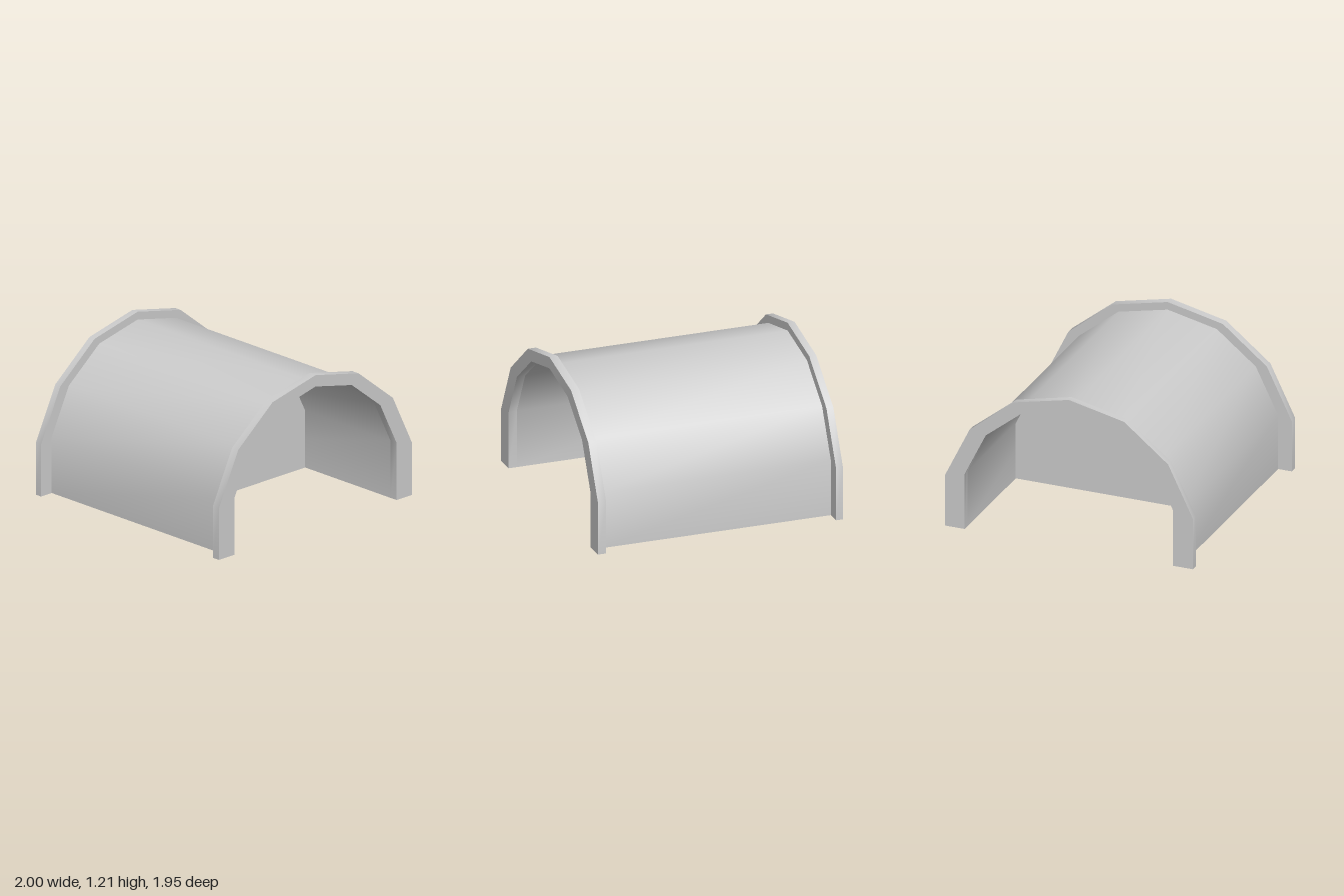
import * as THREE from 'three';
import { toCreasedNormals } from 'three/addons/utils/BufferGeometryUtils.js';

// Half profiles of the arch, from the foot up to the crown
const OUTER = [[1, 0], [1, 0.41], [0.8, 0.82], [0.445, 1.105], [0, 1.205]];
const SHELL = [[0.89, 0], [0.89, 0.44], [0.71, 0.805], [0.397, 1.055], [0, 1.143]];
const INNER = [[0.84, 0], [0.84, 0.45], [0.67, 0.795], [0.375, 1.03], [0, 1.115]];

// Mirror a half profile into a full arch running from +x to -x
function arch(half) {
  const left = half.map(([x, y]) => new THREE.Vector2(x, y));
  const right = half.slice(0, -1).reverse().map(([x, y]) => new THREE.Vector2(-x, y));
  return [...left, ...right];
}

export function createModel() {
  const group = new THREE.Group();
  group.name = 'archedTunnel';
  const material = new THREE.MeshStandardMaterial({ color: 0xcccccc });

  // Band between an outer arch and the inner arch, extruded from z0 to z1
  function addBand(name, outer, z0, z1) {
    const shape = new THREE.Shape([...arch(outer), ...arch(INNER).reverse()]);
    const geometry = new THREE.ExtrudeGeometry(shape, { depth: z1 - z0, bevelEnabled: false });
    geometry.translate(0, 0, z0);
    const mesh = new THREE.Mesh(toCreasedNormals(geometry, 0.6), material);
    mesh.name = name;
    group.add(mesh);
  }

  addBand('barrelShell', SHELL, -0.92, 0.91);
  addBand('frontFlange', OUTER, 0.91, 0.975);
  addBand('backFlange', OUTER, -0.975, -0.92);

  // Thin wall closing the tunnel halfway along
  const wallMaterial = material.clone();
  wallMaterial.side = THREE.DoubleSide;
  const wall = new THREE.Mesh(new THREE.ShapeGeometry(new THREE.Shape(arch(INNER))), wallMaterial);
  wall.name = 'dividingWall';
  group.add(wall);

  return group;
}
